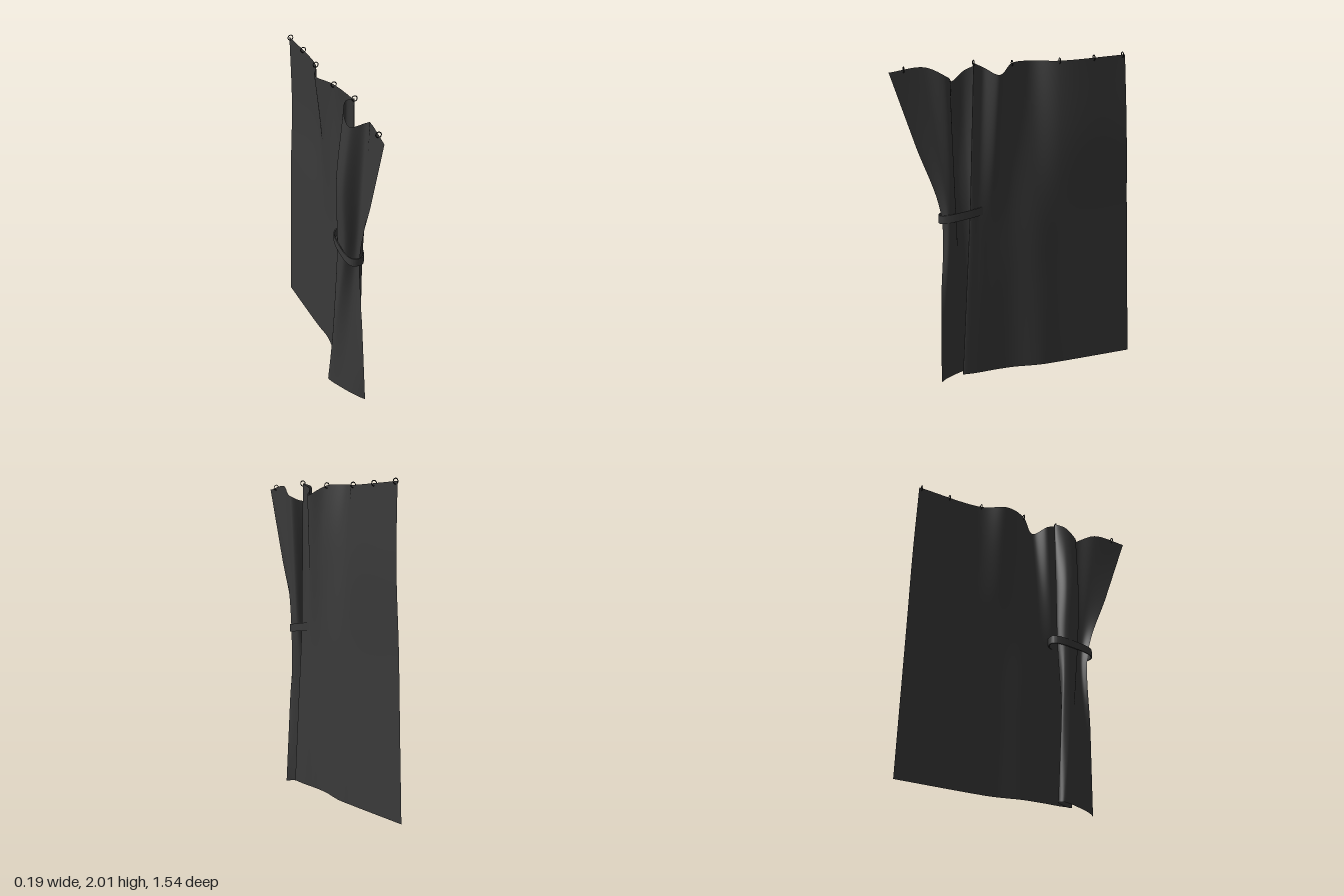
import * as THREE from 'three';
import { toCreasedNormals } from 'three/addons/utils/BufferGeometryUtils.js';

// Cloth cross-sections [x, z], from the straight back edge through the folds to the free front edge
const TOP = [[.01, -.7], [.02, -.27], [-.045, -.11], [.015, .03], [.09, .13], [.03, .21], [.04, .275],
  [0, .25], [-.04, .31], [-.035, .385], [.045, .43], [.015, .56], [0, .77]];
const TIED = [[.015, -.735], [.035, -.28], [.04, -.12], [.03, .04], [.035, .17], [.035, .24], [.035, .305],
  [-.015, .25], [-.06, .28], [-.055, .37], [.02, .39], [.035, .44], [0, .475]];
const HEM = [[.01, -.77], [.035, -.28], [.045, -.15], [.03, .03], [.04, .17], [.055, .28], [.055, .365],
  [.03, .33], [-.06, .215], [-.1, .235], [-.05, .36], [.01, .46], [.045, .5]];
// Scalloped height of the top hem
const TOP_Y = [1.99, 1.965, 1.965, 1.96, 1.9, 1.94, 1.97, 1.955, 1.92, 1.86, 1.89, 1.95, 1.925];

// Surface through fn(i, j), a grid of nu by nv cells
function gridGeometry(nu, nv, fn) {
  const pos = [], index = [];
  for (let j = 0; j <= nv; j++)
    for (let i = 0; i <= nu; i++) pos.push(...fn(i, j).toArray());
  for (let j = 0; j < nv; j++)
    for (let i = 0; i < nu; i++) {
      const a = j * (nu + 1) + i, b = a + nu + 1;
      index.push(a, b, a + 1, b, b + 1, a + 1);
    }
  const g = new THREE.BufferGeometry();
  g.setAttribute('position', new THREE.Float32BufferAttribute(pos, 3));
  g.setIndex(index);
  g.computeVertexNormals();
  return g;
}

// One drop line: nearly straight down to the tie, then straight to the hem
function dropLine(k) {
  const top = new THREE.Vector3(TOP[k][0], TOP_Y[k], TOP[k][1]);
  const tied = new THREE.Vector3(TIED[k][0], 1.06, TIED[k][1]);
  const hemY = k < 7 ? Math.max(.04, .055 - k * .015) : (12 - k) * .006;
  const hem = new THREE.Vector3(HEM[k][0], hemY, HEM[k][1]);
  const upper = top.clone().lerp(tied, .5), lower = tied.clone().lerp(hem, .5);
  // Soft billow of the panel and of the rear fold above the tie
  if (k < 3) upper.x += .012;
  if (k === 8 || k === 9) upper.x -= .025;
  return new THREE.CatmullRomCurve3([top, upper, tied, lower, hem]);
}

export function createModel() {
  const group = new THREE.Group();
  const cloth = new THREE.MeshStandardMaterial({ color: 0x3a3a3a, side: THREE.DoubleSide });
  const dark = new THREE.MeshStandardMaterial({ color: 0x222222 });
  const add = (geometry, material, name) => {
    const mesh = new THREE.Mesh(geometry, material);
    mesh.name = name;
    group.add(mesh);
    return mesh;
  };

  // Curtain: smooth sections across the drop lines
  const drops = TOP.map((_, k) => dropLine(k));
  const NU = 130, NV = 60;
  const rows = Array.from({ length: NV + 1 }, (_, j) =>
    new THREE.CatmullRomCurve3(drops.map(d => d.getPoint(j / NV))));
  add(gridGeometry(NU, NV, (i, j) => rows[j].getPoint(i / NU)), cloth, 'curtain');

  // Tie-back: flat, squarish oval strap around the gathered cloth, rising toward the panel
  const corners = [[0, -.025], [0, .025], [.006, .025], [.006, -.025], [0, -.025]];
  const bulge = s => Math.sign(s) * Math.abs(s) ** .7;
  const strap = gridGeometry(64, 4, (i, j) => {
    const a = i / 64 * Math.PI * 2, [out, up] = corners[j];
    const z = .34 + (.139 + out) * bulge(Math.cos(a));
    return new THREE.Vector3(-.012 + (.057 + out) * bulge(Math.sin(a)), 1.115 - z * .17 + up, z);
  });
  add(toCreasedNormals(strap, .7), cloth, 'tieBack');

  // Hanging rings along the top hem, placed by fold number
  for (const fold of [.04, .46, 1, 3, 6, 11.6])
    add(new THREE.TorusGeometry(.016, .003, 6, 20), dark, 'ring')
      .position.copy(rows[0].getPoint(fold / 12));

  return group;
}
